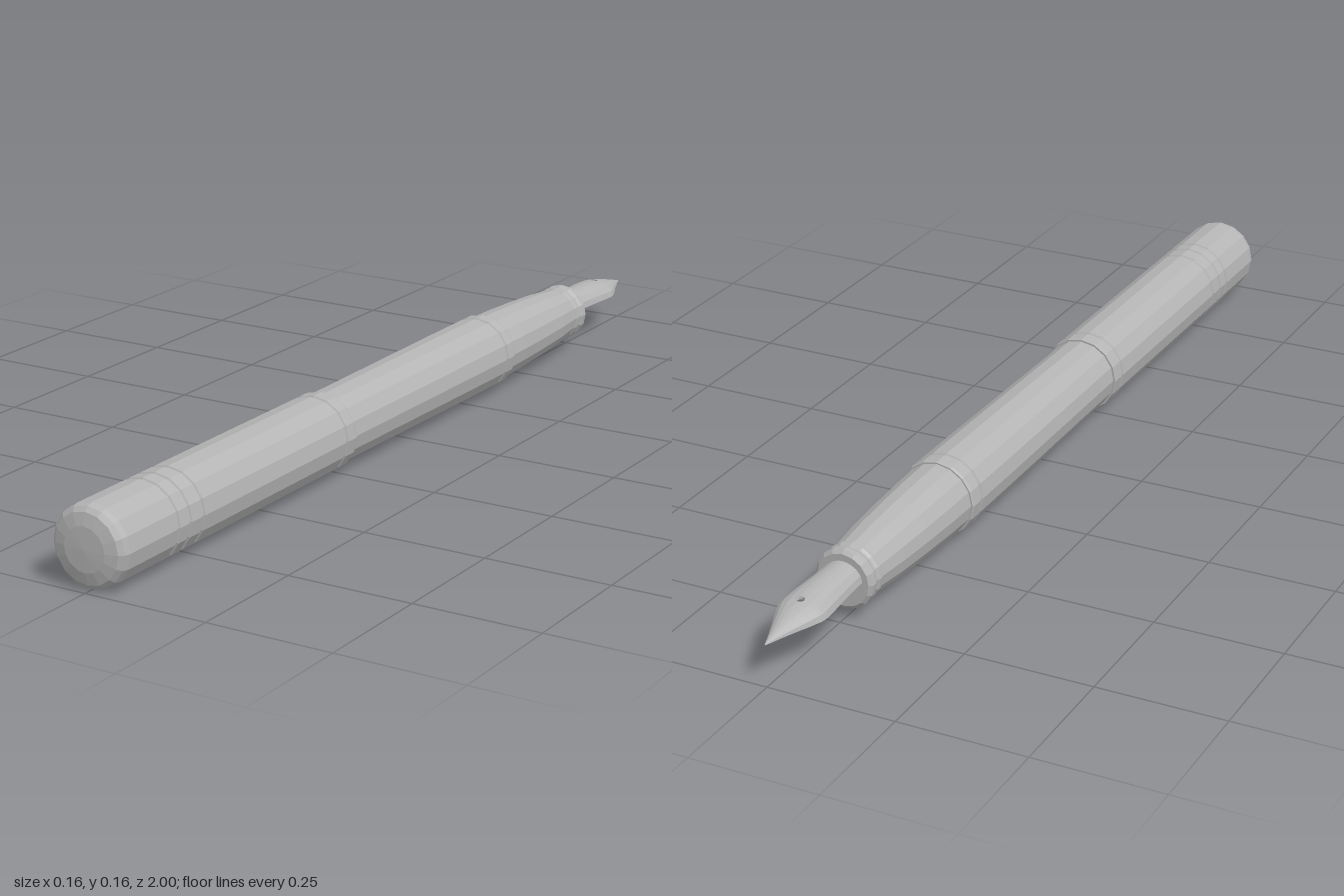
import * as THREE from 'three';

const SIDES = 16;
const AXIS_Y = 0.0785;

export function createModel() {
  const pen = new THREE.Group();
  pen.name = 'fountainPen';
  const grey = new THREE.MeshStandardMaterial({ color: 0xb4b4b4, flatShading: true });
  grey.name = 'grey';

  // Turned part along z from [radius, z] pairs, listed from back (-z) to front (+z)
  function turned(name, profile) {
    const geo = new THREE.LatheGeometry(profile.map(([r, z]) => new THREE.Vector2(r, z)), SIDES);
    geo.rotateX(Math.PI / 2);
    const mesh = new THREE.Mesh(geo, grey);
    mesh.name = name;
    mesh.position.y = AXIS_Y;
    pen.add(mesh);
  }

  // Narrow groove cut into a profile
  const groove = (z, r) => [[r, z - 0.005], [r - 0.003, z - 0.003], [r - 0.003, z + 0.003], [r, z + 0.005]];

  // Cap with a lip, three grooves and a domed end
  const capR = 0.0785;
  turned('cap', [
    [0.066, 0.247], [0.0775, 0.247], [capR, 0.252],
    ...groove(0.282, capR), ...[0.755, 0.795, 0.83].flatMap(z => groove(z, capR)),
    [capR, 0.972], [0.0755, 0.984], [0.067, 0.992], [0.043, 0.998], [0, 1],
  ]);

  // Barrel, widening slightly towards the grip
  turned('barrel', [
    [0.066, -0.38], [0.075, -0.38], [0.077, -0.375], ...groove(-0.345, 0.077),
    [0.0765, -0.2], [0.0735, 0.2], [0.0735, 0.26],
  ]);

  // Tapered grip and its end ring
  turned('grip', [
    [0.05, -0.695], [0.0555, -0.692], [0.0625, -0.62], [0.0675, -0.53],
    [0.071, -0.44], [0.072, -0.376],
  ]);
  turned('gripRing', [
    [0, -0.735], [0.052, -0.735], [0.0585, -0.729], [0.0585, -0.718], [0.055, -0.711],
    [0.055, -0.706], [0.058, -0.701], [0.058, -0.694], [0.054, -0.69],
  ]);

  const nib = new THREE.Mesh(nibGeometry(), grey);
  nib.name = 'nib';
  nib.position.y = AXIS_Y + 0.004;
  pen.add(nib);
  return pen;
}

// Arched hollow nib with a round vent hole
function nibGeometry() {
  // Sections: z, half width, arch height
  const rows = [
    [-0.70, 0.038, 0.034], [-0.78, 0.041, 0.034], [-0.84, 0.046, 0.033],
    [-0.872, 0.048, 0.0305], [-0.88, 0.0473, 0.03], [-0.888, 0.0455, 0.029],
    [-0.91, 0.037, 0.025], [-0.94, 0.024, 0.018], [-0.97, 0.012, 0.01], [-1, 0.001, 0.002],
  ];
  const cols = [-1, -0.75, -0.5, -0.28, -0.11, 0, 0.11, 0.28, 0.5, 0.75, 1];
  const holeRow = 4, holeCol = 5, nr = rows.length - 1, nc = cols.length - 1;

  const point = (i, j, inner) => {
    let [z, w, h] = rows[i], u = cols[j];
    // Pull the corners of the hole in to make it round
    if (Math.abs(i - holeRow) === 1 && Math.abs(j - holeCol) === 1) {
      u *= 0.7;
      z = rows[holeRow][0] + (z - rows[holeRow][0]) * 0.7;
    }
    const t = inner ? Math.min(0.005, w * 0.4, h * 0.4) : 0;
    const a = u * Math.PI / 2;
    return [Math.sin(a) * (w - t), Math.cos(a) * (h - t), z];
  };
  const solid = (i, j) => i >= 0 && j >= 0 && i < nr && j < nc &&
    !((i === holeRow || i === holeRow - 1) && (j === holeCol || j === holeCol - 1));

  const pos = [];
  const quad = (a, b, c, d) => pos.push(...a, ...b, ...c, ...a, ...c, ...d);
  for (let i = 0; i < nr; i++) {
    for (let j = 0; j < nc; j++) {
      if (!solid(i, j)) continue;
      // Corners run anticlockwise seen from above
      const corners = [[i, j], [i, j + 1], [i + 1, j + 1], [i + 1, j]];
      const o = corners.map(([r, c]) => point(r, c, false));
      const n = corners.map(([r, c]) => point(r, c, true));
      quad(o[0], o[1], o[2], o[3]);
      quad(n[3], n[2], n[1], n[0]);
      // Rim wherever the neighbouring cell is missing
      [[i - 1, j], [i, j + 1], [i + 1, j], [i, j - 1]].forEach(([r, c], k) => {
        const m = (k + 1) % 4;
        if (!solid(r, c)) quad(o[m], o[k], n[k], n[m]);
      });
    }
  }
  const geo = new THREE.BufferGeometry();
  geo.setAttribute('position', new THREE.Float32BufferAttribute(pos, 3));
  geo.computeVertexNormals();
  return geo;
}
